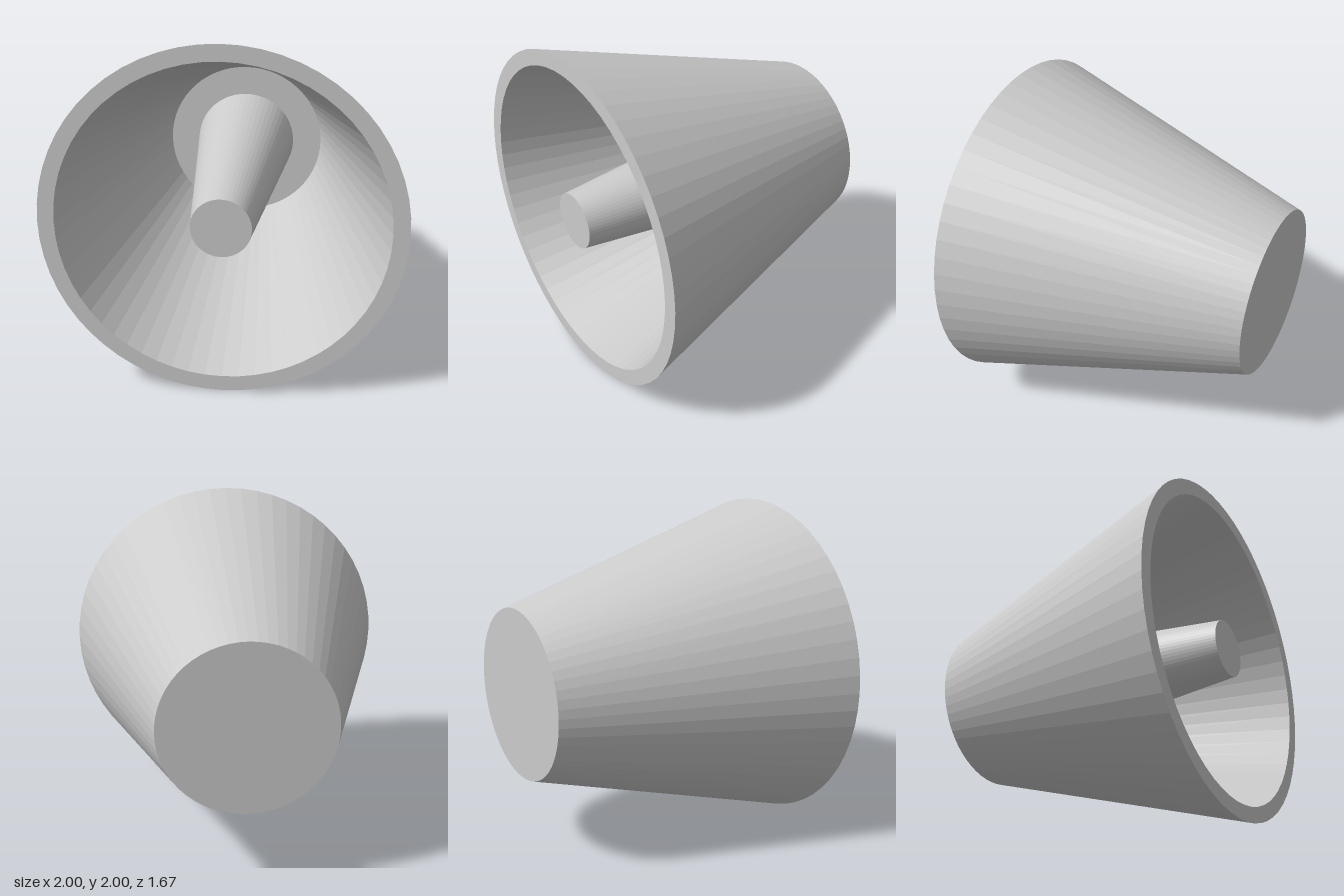
import * as THREE from 'three';

const SEGMENTS = 60;
const BACK = -0.8333, FLOOR = -0.6667, FRONT = 0.8333;

export function createModel() {
  const group = new THREE.Group();
  const material = new THREE.MeshStandardMaterial({ color: 0xcccccc, flatShading: true });

  // Turns a [radius, z] profile around the z axis, at the height of the centre line
  function addTurned(name, profile) {
    const points = profile.map(([r, z]) => new THREE.Vector2(r, z));
    const geometry = new THREE.LatheGeometry(points, SEGMENTS);
    geometry.rotateX(Math.PI / 2);
    const mesh = new THREE.Mesh(geometry, material);
    mesh.name = name;
    mesh.position.y = 1;
    group.add(mesh);
  }

  // Hollow cone: closed back, outer wall, rim, inner wall and floor
  addTurned('hollowCone', [
    [0, BACK], [0.5, BACK], [1, FRONT], [0.909, FRONT], [0.5, FLOOR], [0, FLOOR],
  ]);

  // Tapered core standing on the floor, its tip level with the rim
  addTurned('taperedCore', [[0.3167, FLOOR], [0.1667, FRONT], [0, FRONT]]);

  return group;
}
